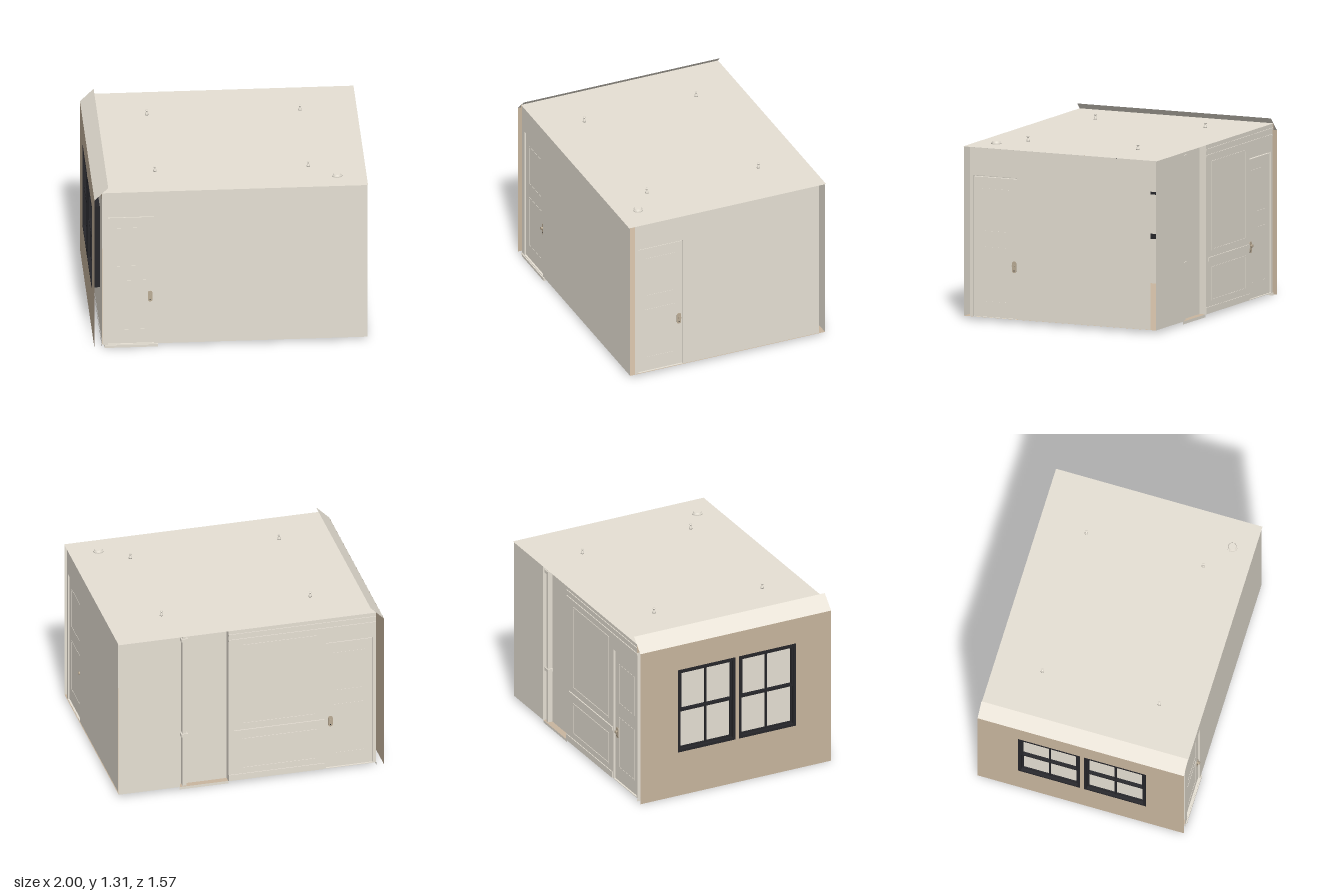
import * as THREE from 'three';

const mat = (name, color, side = THREE.DoubleSide) => {
  const m = new THREE.MeshStandardMaterial({ color, side });
  m.name = name;
  return m;
};

export function createModel() {
  const root = new THREE.Group();
  root.name = 'room';
  const paint = mat('wallPaint', 0xe6e0d4);
  const tan = mat('exteriorTan', 0xc9b69f);
  const black = mat('windowBlack', 0x26262a, THREE.FrontSide);
  const grey = mat('rugGrey', 0xdcdcd6);
  const brass = mat('handleMetal', 0xbcad96, THREE.FrontSide);

  const add = (parent, name, geo, m, x = 0, y = 0, z = 0) => {
    const mesh = new THREE.Mesh(geo, m);
    mesh.name = name;
    mesh.position.set(x, y, z);
    parent.add(mesh);
    return mesh;
  };
  // Box given by its limits
  const box = (parent, name, m, x0, x1, y0, y1, z0, z1) =>
    add(parent, name, new THREE.BoxGeometry(x1 - x0, y1 - y0, z1 - z0), m,
      (x0 + x1) / 2, (y0 + y1) / 2, (z0 + z1) / 2);
  // Group whose local +z points out of the room
  const side = (name, turn, distance) => {
    const g = new THREE.Group();
    g.name = name;
    g.rotation.y = turn;
    g.position.set(Math.sin(turn) * distance, 0, Math.cos(turn) * distance);
    root.add(g);
    return g;
  };
  const rect = (P, u0, u1, y0, y1) => {
    const p = new P();
    p.moveTo(u0, y0);
    p.lineTo(u1, y0);
    p.lineTo(u1, y1);
    p.lineTo(u0, y1);
    p.closePath();
    return p;
  };
  // Flat wall sheet with rectangular openings
  const wall = (parent, name, m, u0, u1, y0, y1, holes = [], z = 0) => {
    const s = rect(THREE.Shape, u0, u1, y0, y1);
    holes.forEach(h => s.holes.push(rect(THREE.Path, ...h)));
    return add(parent, name, new THREE.ShapeGeometry(s), m, 0, 0, z);
  };
  // Rectangular frame made of four bars
  const frame = (parent, name, m, u0, u1, y0, y1, t, z0, z1) => {
    const s = rect(THREE.Shape, u0, u1, y0, y1);
    s.holes.push(rect(THREE.Path, u0 + t, u1 - t, y0 + t, y1 - t));
    const g = new THREE.ExtrudeGeometry(s, { depth: z1 - z0, bevelEnabled: false });
    return add(parent, name, g, m, 0, 0, z0);
  };

  // Two-panel door set slightly back in its opening, with a gap on top
  const door = (parent, u0, u1, handleU) => {
    const g = new THREE.Group();
    g.name = 'door';
    parent.add(g);
    frame(g, 'doorJamb', paint, u0 - 0.002, u1 + 0.002, 0.02, 1.07, 0.004, -0.04, 0);
    box(g, 'doorSlab', paint, u0 + 0.002, u1 - 0.002, 0.024, 1.054, -0.04, -0.014);
    for (const [a, b] of [[0.13, 0.54], [0.65, 0.97]])
      frame(g, 'doorPanelMoulding', paint, u0 + 0.06, u1 - 0.06, a, b, 0.008, -0.014, -0.012);
    // Escutcheon with rounded ends, knob and keyhole
    const plate = new THREE.Shape();
    plate.absarc(0, 0.026, 0.017, 0, Math.PI);
    plate.absarc(0, -0.026, 0.017, Math.PI, Math.PI * 2);
    add(g, 'handlePlate', new THREE.ExtrudeGeometry(plate, { depth: 0.005, bevelEnabled: false, curveSegments: 8 }),
      brass, handleU, 0.405, -0.014);
    add(g, 'doorKnob', new THREE.CylinderGeometry(0.012, 0.009, 0.016, 16).rotateX(Math.PI / 2),
      brass, handleU, 0.415, -0.001);
    add(g, 'keyhole', new THREE.CylinderGeometry(0.004, 0.004, 0.004, 12).rotateX(Math.PI / 2),
      black, handleU, 0.378, -0.01);
  };

  // Front wall
  const front = side('frontSide', 0, 0.777);
  wall(front, 'frontWall', paint, -0.94, 0.998, 0.022, 1.27, [[-0.9, -0.56, 0.023, 1.07]]);
  door(front, -0.9, -0.56, -0.59);
  box(front, 'threshold', paint, -0.925, -0.535, 0, 0.02, -0.04, 0.008);

  // Right wall, stopping short of both corners
  const right = side('rightSide', Math.PI / 2, 0.992);
  wall(right, 'rightWall', paint, -0.735, 0.73, 0.022, 1.27, [[-0.71, -0.35, 0.023, 1.07]]);
  door(right, -0.71, -0.35, -0.38);

  // Back wall: plain bay, recess and panelled bay
  const back = side('backSide', Math.PI, 0.777);
  wall(back, 'plainWall', paint, -0.998, -0.54, 0.022, 1.27);
  wall(back, 'recessWall', paint, -0.54, -0.17, 0.022, 1.27, [], -0.047);
  wall(back, 'recessSill', paint, -0.54, -0.17, 0, 0.022, [], -0.003);
  wall(back, 'panelledWall', paint, -0.17, 0.94, 0.022, 1.27, [[0.56, 0.92, 0.023, 1.07]]);
  for (const u of [-0.54, -0.17])
    box(back, 'recessReturn', paint, u - 0.003, u + 0.003, 0.022, 1.27, -0.05, 0.002);
  door(back, 0.56, 0.92, 0.6);
  for (const y of [1.18, 1.225])
    box(back, 'cornice', paint, -0.17, 0.94, y, y + 0.014, 0, 0.006);
  box(back, 'chairRail', paint, -0.13, 0.55, 0.405, 0.435, 0, 0.008);
  box(back, 'baseboard', paint, -0.17, 0.55, 0.022, 0.07, 0, 0.006);
  frame(back, 'upperPanel', paint, -0.07, 0.49, 0.48, 1.14, 0.01, 0, 0.004);
  frame(back, 'lowerPanel', paint, -0.07, 0.49, 0.11, 0.36, 0.01, 0, 0.004);

  // Slim riser with collars beside the recess return
  box(back, 'riser', paint, -0.515, -0.485, 0.022, 1.27, -0.047, -0.012);
  for (const y of [0.43, 1.22])
    box(back, 'riserCollar', paint, -0.525, -0.475, y, y + 0.025, -0.047, -0.004);

  // Window wall: tan outer skin and painted inner skin
  const left = side('windowSide', -Math.PI / 2, 0.998);
  const windows = [[-0.475, -0.005, 0.35, 1.015], [0.025, 0.495, 0.35, 1.015]];
  wall(left, 'outerWall', tan, -0.785, 0.785, 0, 1.215, windows);
  wall(left, 'innerWall', paint, -0.777, 0.73, 0.022, 1.27, windows, -0.058);
  wall(left, 'eaveLiner', tan, -0.785, 0.785, 1.2, 1.268, [], -0.056);
  wall(left, 'footStrip', paint, -0.785, 0.785, 0, 0.022, [], -0.055);
  for (const [u0, u1, y0, y1] of windows) {
    const mid = (u0 + u1) / 2, rail = (y0 + y1) / 2;
    frame(left, 'windowFrame', black, u0, u1, y0, y1, 0.02, -0.06, 0.002);
    frame(left, 'upperSash', black, u0 + 0.015, u1 - 0.015, rail - 0.01, y1 - 0.015, 0.018, -0.028, -0.008);
    frame(left, 'lowerSash', black, u0 + 0.015, u1 - 0.015, y0 + 0.015, rail + 0.01, 0.018, -0.045, -0.022);
    box(left, 'mullion', black, mid - 0.006, mid + 0.006, y0 + 0.03, y1 - 0.03, -0.036, -0.014);
    wall(left, 'pane', paint, u0 + 0.015, u1 - 0.015, y0 + 0.015, y1 - 0.015, [], -0.032);
  }

  // Sloping eave sheet above the windows
  const eave = new THREE.PlaneGeometry(Math.hypot(0.1, 0.1), 1.57).rotateX(-Math.PI / 2).rotateZ(Math.PI / 4);
  add(root, 'eave', eave, paint, -0.948, 1.264, 0);

  // Ceiling, floor and rug
  const sheet = (name, m, x0, x1, z0, z1, y) =>
    add(root, name, new THREE.PlaneGeometry(x1 - x0, z1 - z0).rotateX(-Math.PI / 2), m,
      (x0 + x1) / 2, y, (z0 + z1) / 2);
  sheet('ceiling', paint, -0.94, 1, -0.785, 0.785, 1.272);
  sheet('floor', tan, -0.94, 0.998, -0.777, 0.777, 0.022);
  box(root, 'rug', grey, -0.33, 0.655, 0.014, 0.02, -0.64, 0.31);

  // Sprinkler heads
  const head = [[0, 0], [0.013, 0], [0.012, 0.008], [0.006, 0.022], [0.005, 0.028], [0.011, 0.034], [0.011, 0.037], [0, 0.038]]
    .map(p => new THREE.Vector2(...p));
  const headGeo = new THREE.LatheGeometry(head, 16);
  for (const x of [-0.535, 0.585])
    for (const z of [-0.43, 0.46]) add(root, 'sprinkler', headGeo, paint, x, 1.272, z);

  // Smoke detector: base plate and raised cap
  add(root, 'detectorBase', new THREE.CylinderGeometry(0.038, 0.038, 0.008, 32), paint, 0.785, 1.276, 0.62);
  add(root, 'detectorCap', new THREE.CylinderGeometry(0.027, 0.032, 0.011, 32), paint, 0.785, 1.2855, 0.62);

  return root;
}
